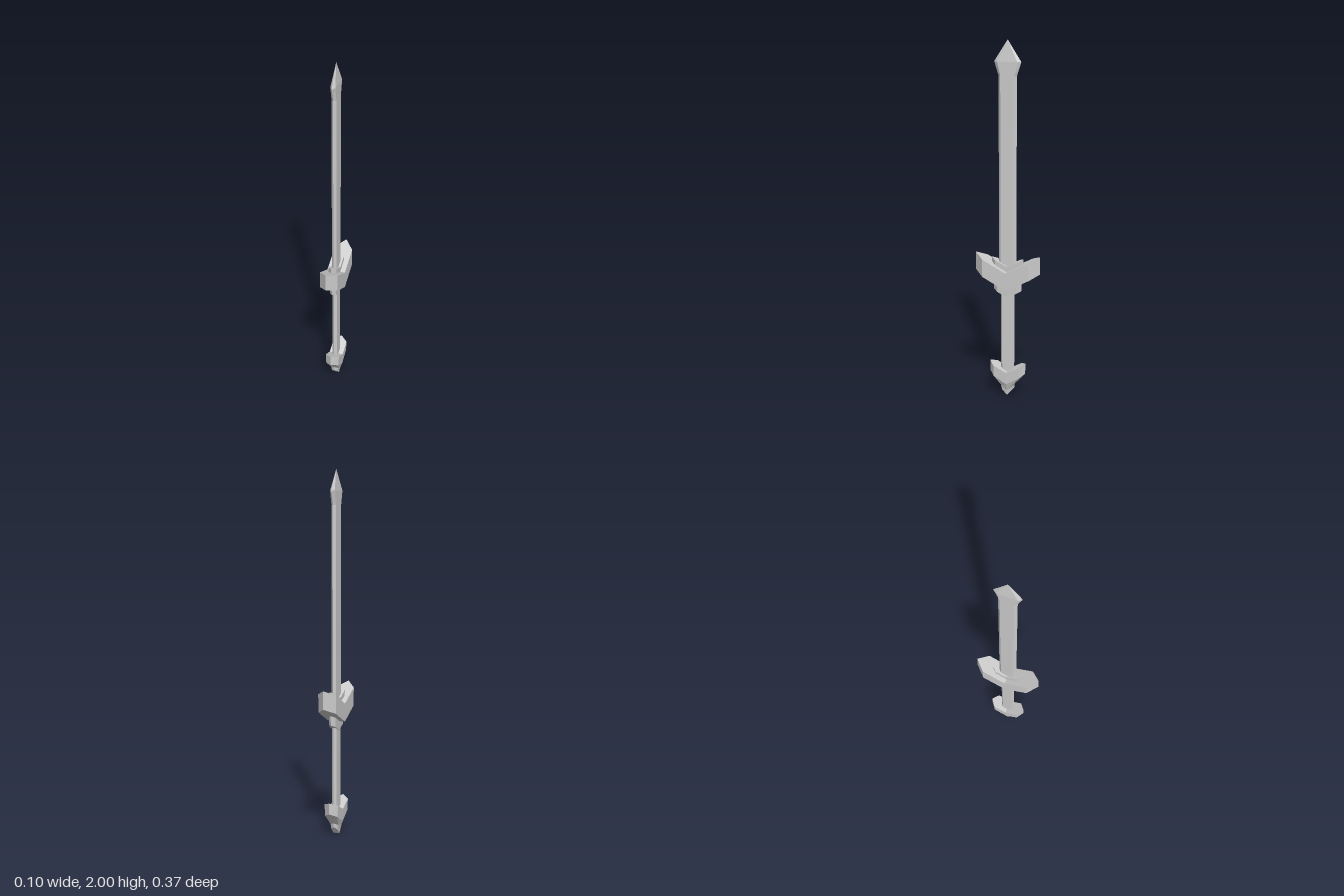
import * as THREE from 'three';

// Lofts chevron-shaped hexagonal sections, listed from bottom to top.
// Each section: [centre y, rise per unit |z|, half width x, edge z, flat-side z]
function loft(name, sections) {
  const rings = sections.map(([y, rise, x, edge, flat]) =>
    [[x, 0], [x, -flat], [0, -edge], [-x, -flat], [-x, 0], [-x, flat], [0, edge], [x, flat]]
      .map(([px, pz]) => [px, y + rise * Math.abs(pz), pz]));
  const n = 8;
  const last = rings.length - 1;
  const positions = rings.flat(2);
  const base = rings.length * n;
  positions.push(0, sections[0][0], 0, 0, sections[last][0], 0);
  const index = [];
  for (let i = 0; i < n; i++) {
    const j = (i + 1) % n;
    for (let r = 0; r < last; r++) {
      const a = r * n + i, b = r * n + j;
      index.push(a, b, b + n, a, b + n, a + n);
    }
    // end caps
    index.push(base, j, i, base + 1, last * n + i, last * n + j);
  }
  const geometry = new THREE.BufferGeometry();
  geometry.setAttribute('position', new THREE.Float32BufferAttribute(positions, 3));
  geometry.setIndex(index);
  const flatGeometry = geometry.toNonIndexed();
  flatGeometry.computeVertexNormals();
  const mesh = new THREE.Mesh(flatGeometry,
    new THREE.MeshStandardMaterial({ color: 0xcccccc, flatShading: true }));
  mesh.name = name;
  return mesh;
}

export function createModel() {
  const sword = new THREE.Group();
  sword.name = 'sword';

  sword.add(
    // straight blade with a flared spear tip
    loft('blade', [
      [0.68, 0, 0.013, 0.05, 0.037],
      [1.81, 0, 0.013, 0.05, 0.037],
      [1.885, 0, 0.013, 0.074, 0.055],
      [2, 0, 0, 0, 0],
    ]),
    // swept crossguard
    loft('crossguard', [
      [0.637, 0.52, 0.051, 0.184, 0.131],
      [0.737, 0.52, 0.051, 0.184, 0.131],
    ]),
    // collar passing through the crossguard
    loft('collar', [
      [0.587, 0.5, 0.018, 0.078, 0.056],
      [0.675, 0.5, 0.021, 0.084, 0.061],
      [0.767, 0.5, 0.024, 0.091, 0.066],
    ]),
    loft('grip', [
      [0.08, 0, 0.013, 0.038, 0.028],
      [0.64, 0, 0.013, 0.04, 0.03],
    ]),
    // winged pommel tapering to a point
    loft('pommel', [
      [0, 1.1, 0.018, 0.04, 0.028],
      [0.03, 0.9, 0.022, 0.042, 0.03],
      [0.073, 0.6, 0.037, 0.103, 0.073],
      [0.143, 0.52, 0.04, 0.103, 0.073],
    ]),
  );
  return sword;
}
